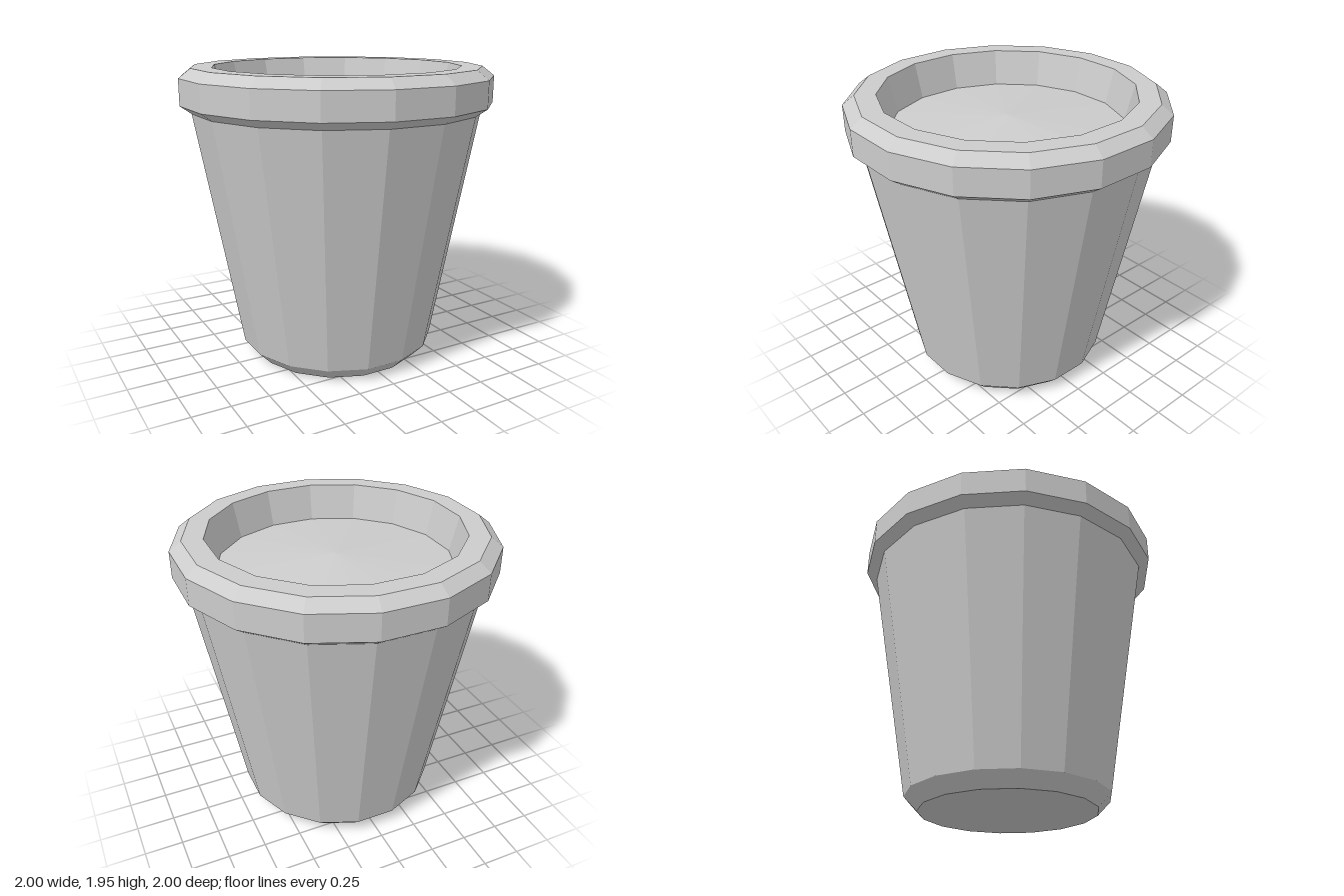
import * as THREE from 'three';

const SIDES = 16;
// profiles give the distance to the middle of each flat side
const TO_CORNER = 1 / Math.cos(Math.PI / SIDES);

// Faceted ring of flat sides turned around the y axis
function facetedLathe(name, profile, material) {
  const points = profile.map(([r, y]) => new THREE.Vector2(r * TO_CORNER, y));
  const geometry = new THREE.LatheGeometry(points, SIDES, Math.PI / SIDES).toNonIndexed();
  geometry.computeVertexNormals();
  const mesh = new THREE.Mesh(geometry, material);
  mesh.name = name;
  return mesh;
}

export function createModel() {
  const group = new THREE.Group();
  group.name = 'cup';
  const grey = new THREE.MeshStandardMaterial({ color: 0xcccccc });
  grey.name = 'light grey';

  // Closed base, bevelled foot and tapering wall
  group.add(facetedLathe('cupBody', [[0, 0], [0.565, 0], [0.65, 0.09], [0.93, 1.67]], grey));
  // Thick bevelled rim
  group.add(facetedLathe('rim', [[0.93, 1.67], [1, 1.72], [1, 1.89], [0.925, 1.95], [0.795, 1.95]], grey));
  // Inner wall and slightly domed surface set below the rim
  group.add(facetedLathe('innerWall', [[0.795, 1.95], [0.742, 1.72]], grey));
  group.add(facetedLathe('recessedTop', [[0.742, 1.72], [0, 1.78]], grey));

  return group;
}
